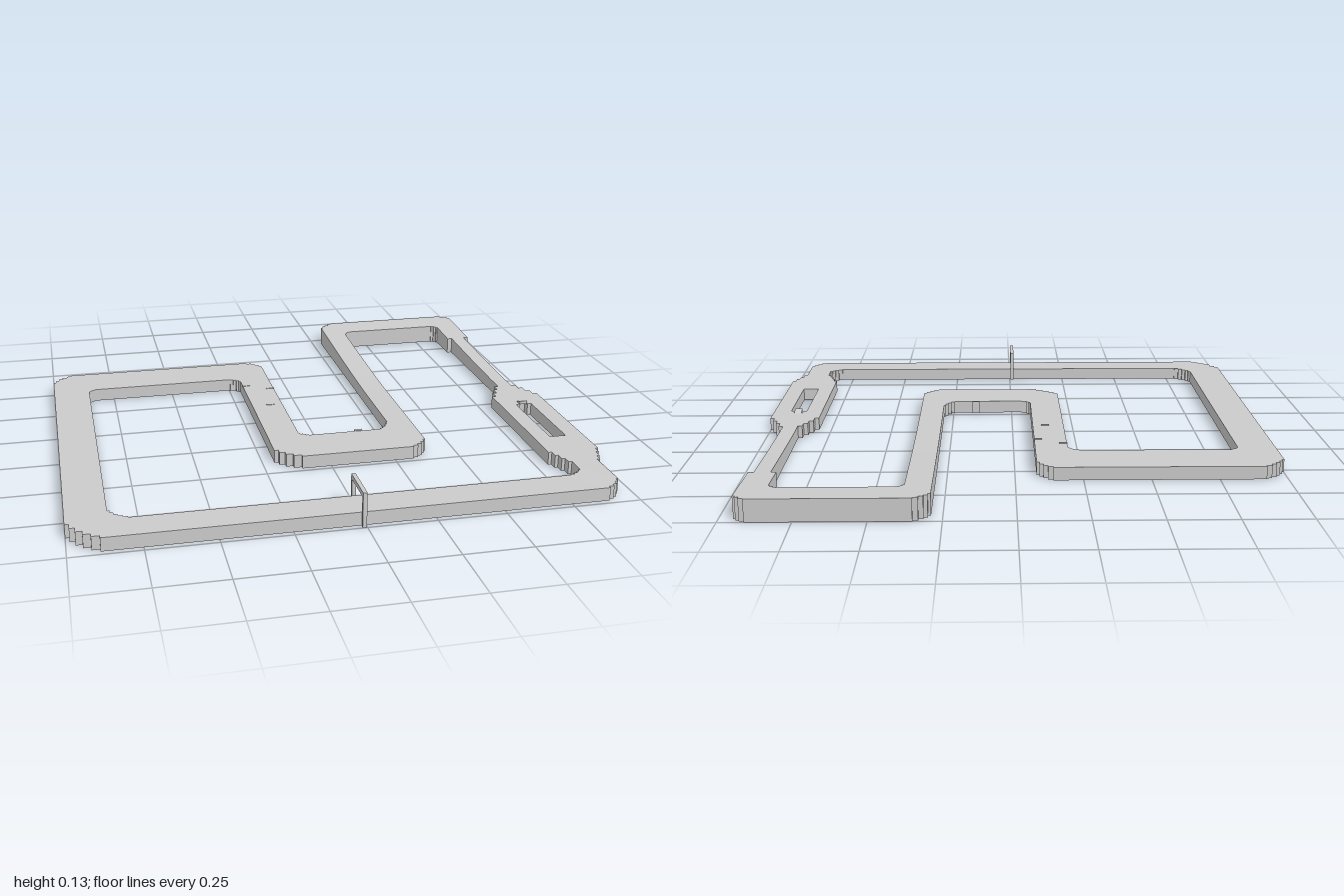
import * as THREE from 'three';

const material = new THREE.MeshStandardMaterial({ color: 0xcccccc, flatShading: true });

// Track surface height: level, except for the loop that climbs towards the back
function height([x, z]) {
  const t = x > 0.2 ? Math.max(0, (-0.15 - z) / 0.85) : 0;
  return 0.05 + 0.033 * Math.pow(t, 1.3);
}
const top = (p) => [p[0], height(p), p[1]];
const base = (p) => [p[0], 0, p[1]];

// Pushes one flat quad, corners counter-clockwise
function quad(out, a, b, c, d) {
  out.push(...a, ...b, ...c, ...a, ...c, ...d);
}

// Solid ribbon through a list of [outer, inner] edge pairs
function ribbon(out, pairs) {
  for (let k = 0; k + 1 < pairs.length; k++) {
    const [o0, i0] = pairs[k];
    const [o1, i1] = pairs[k + 1];
    quad(out, top(o0), top(i0), top(i1), top(o1));
    quad(out, base(o1), base(i1), base(i0), base(o0));
    quad(out, base(o0), top(o0), top(o1), base(o1));
    quad(out, base(i1), top(i1), top(i0), base(i0));
  }
}

// Traces the circuit clockwise as seen from above
function circuit() {
  const pairs = [];
  const go = (ox, oz, ix, iz) => pairs.push([[ox, oz], [ix, iz]]);
  // stepped bend to the next pair; axis is the direction of travel (0 = x, 1 = z)
  const bend = (ox, oz, ix, iz, axis, steps = 5, bulge = 0.5) => {
    const from = pairs[pairs.length - 1];
    const to = [[ox, oz], [ix, iz]];
    const at = (side, t, ax) => {
      const arc = ax === axis ? Math.sin(t * Math.PI / 2) : 1 - Math.cos(t * Math.PI / 2);
      const f = t + (arc - t) * bulge;
      return from[side][ax] + (to[side][ax] - from[side][ax]) * f;
    };
    for (let s = 1; s <= steps; s++) {
      const now = s / steps, before = (s - 1) / steps;
      for (const other of [before, now]) {
        pairs.push([0, 1].map((side) => [
          at(side, axis === 0 ? now : other, 0),
          at(side, axis === 1 ? now : other, 1),
        ]));
      }
    }
  };
  const climb = [-0.15, -0.3, -0.45, -0.6];

  // pit exit and front right corner
  go(1, 0.5, 0.8, 0.5);
  go(1, 0.61, 0.8, 0.61);
  bend(0.95, 0.74, 0.85, 0.74, 1, 4, 0);
  go(0.95, 0.89, 0.85, 0.8);
  bend(0.87, 0.98, 0.78, 0.85, 1);
  // front straight and front left corner
  go(-0.86, 0.98, -0.77, 0.85);
  bend(-1, 0.83, -0.855, 0.77, 0, 6);
  // left straight and back left corner
  go(-1, -0.5, -0.855, -0.37);
  bend(-0.9, -0.6, -0.82, -0.4, 1, 6);
  go(-0.16, -0.6, -0.26, -0.4);
  bend(-0.08, -0.52, -0.205, -0.36, 0);
  // inner hairpin
  go(-0.08, 0.25, -0.205, 0.38);
  bend(-0.03, 0.285, -0.08, 0.48, 1);
  go(0.23, 0.285, 0.3, 0.48);
  bend(0.29, 0.2, 0.385, 0.4, 0);
  // climbing straight and raised back section
  climb.forEach((z) => go(0.29, z, 0.385, z));
  go(0.29, -0.93, 0.385, -0.84);
  bend(0.37, -1, 0.43, -0.87, 1);
  go(0.89, -1, 0.81, -0.87);
  bend(0.95, -0.95, 0.85, -0.84, 0, 4);
  // narrow descending straight
  go(0.95, -0.69, 0.85, -0.69);
  go(0.93, -0.69, 0.87, -0.69);
  climb.slice().reverse().forEach((z) => go(0.93, z, 0.87, z));
  go(0.93, -0.11, 0.87, -0.11);
  // widening into the pit
  bend(1, 0.04, 0.8, 0.04, 1, 4, 0);
  go(1, 0.12, 0.8, 0.12);
  return pairs;
}

function trackGeometry() {
  const out = [];
  ribbon(out, circuit());
  // two lanes either side of the pit opening
  const opening = [[0.12, 0.88, 0.915], [0.15, 0.88, 0.915], [0.15, 0.865, 0.93], [0.5, 0.865, 0.93]];
  ribbon(out, opening.map(([z, , x]) => [[1, z], [x, z]]));
  ribbon(out, opening.map(([z, x]) => [[x, z], [0.8, z]]));
  // end walls of the opening
  const wall = (a, b) => quad(out, base(a), base(b), top(b), top(a));
  wall([0.88, 0.12], [0.915, 0.12]);
  wall([0.93, 0.5], [0.865, 0.5]);

  const geometry = new THREE.BufferGeometry();
  geometry.setAttribute('position', new THREE.Float32BufferAttribute(out, 3));
  geometry.computeVertexNormals();
  return geometry;
}

export function createModel() {
  const model = new THREE.Group();
  model.name = 'raceCircuit';

  const add = (parent, name, geometry, x = 0, y = 0, z = 0) => {
    const mesh = new THREE.Mesh(geometry, material);
    mesh.name = name;
    mesh.position.set(x, y, z);
    parent.add(mesh);
    return mesh;
  };
  const box = (parent, name, w, h, d, x, y, z) =>
    add(parent, name, new THREE.BoxGeometry(w, h, d), x, y, z);

  add(model, 'track', trackGeometry());

  // start gate spanning the front straight
  const gate = new THREE.Group();
  gate.name = 'startGate';
  for (const z of [0.844, 0.994]) box(gate, 'gatePost', 0.015, 0.13, 0.012, -0.01, 0.065, z);
  box(gate, 'gateBeam', 0.015, 0.018, 0.138, -0.01, 0.121, 0.919);
  model.add(gate);

  // small ramp at the head of the pit opening
  const ramp = new THREE.BoxGeometry(0.03, 0.014, 0.035);
  const p = ramp.attributes.position;
  for (let k = 0; k < p.count; k++) if (p.getZ(k) < 0 && p.getY(k) > 0) p.setY(k, -0.005);
  ramp.computeVertexNormals();
  add(model, 'pitRamp', ramp, 0.898, 0.055, 0.128);

  // low strips across the track and a block at the hairpin edge
  for (const [x, z] of [[-0.19, -0.31], [-0.095, -0.26], [-0.13, -0.07]]) {
    box(model, 'trackStrip', 0.032, 0.004, 0.012, x, 0.05, z);
  }
  box(model, 'edgeBlock', 0.03, 0.05, 0.015, 0.155, 0.027, 0.279);

  return model;
}
